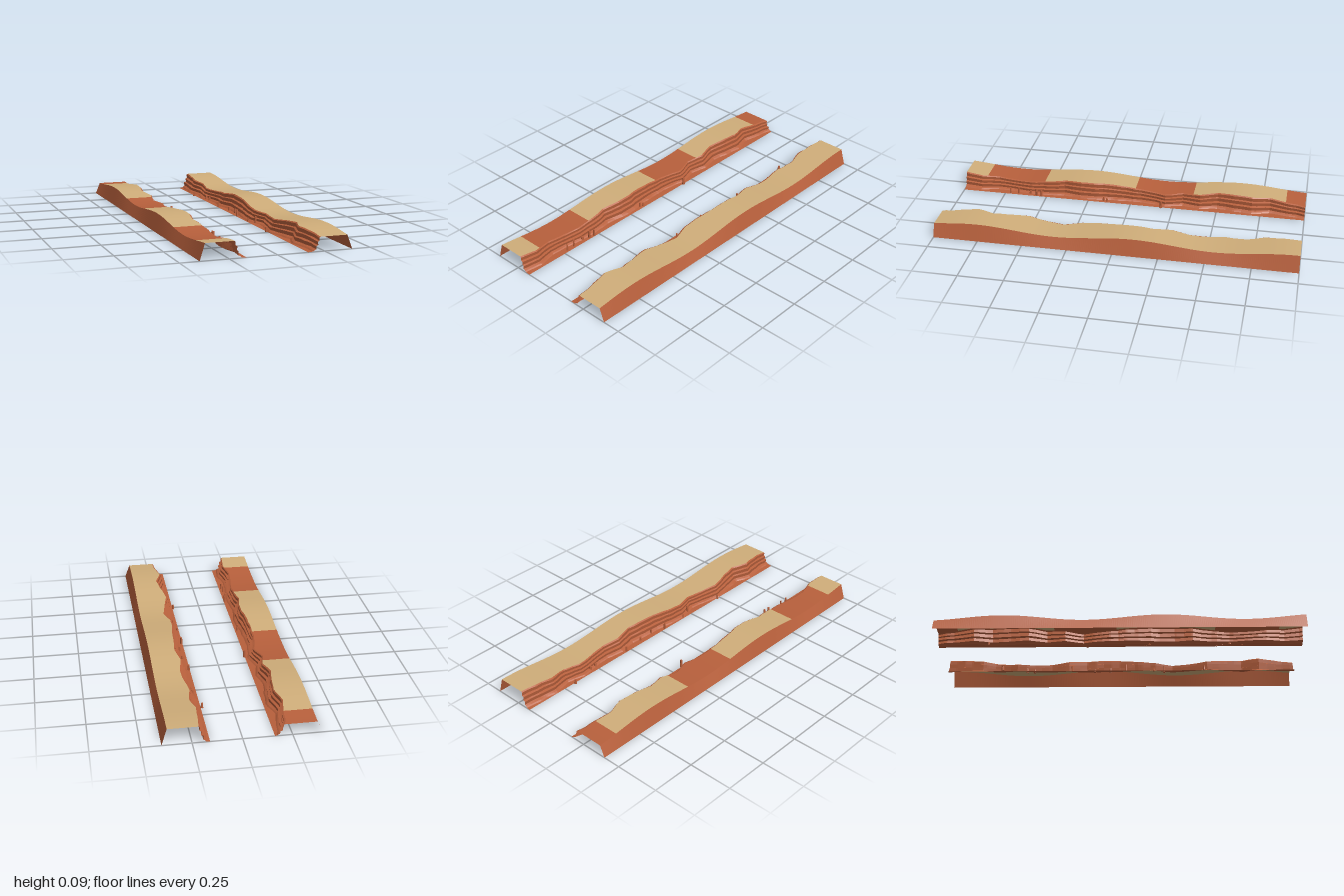
import * as THREE from 'three';

const rust = new THREE.MeshStandardMaterial({ color: 0xb8603c, side: THREE.DoubleSide, flatShading: true });
rust.name = 'red rock';
const sand = new THREE.MeshStandardMaterial({ color: 0xd0ae7a, side: THREE.DoubleSide, flatShading: true });
sand.name = 'pale sand';

const STEP = 0.01;

// Repeatable value in -1..1
const hash = (n) => {
  const v = Math.sin(n * 127.1 + 11.7) * 43758.5453;
  return 2 * (v - Math.floor(v)) - 1;
};
// Straight runs between evenly spaced knots
const runs = (z, spacing, knot) => {
  const u = (z + 1) / spacing, k = Math.floor(u + 1e-6);
  return THREE.MathUtils.lerp(knot(k), knot(k + 1), u - k);
};
const jitter = (z, seed) => runs(z, 0.045, (k) => hash(k + seed));

// Rim distance from the centre, every 0.1 along z
const rightRim = [.212, .225, .238, .212, .222, .237, .217, .238, .21, .23, .233,
  .228, .215, .213, .23, .22, .218, .232, .24, .217, .225];
const leftRim = [.218, .21, .204, .224, .206, .222, .23, .213, .233, .225, .22,
  .208, .208, .238, .217, .195, .218, .233, .202, .222, .23];

// Spire places: distance from the centre, z
const rightSpires = [[.197, -.72], [.158, -.18], [.174, .14], [.18, .16], [.166, .53], [.172, .56],
  [.185, .6], [.178, .67], [.175, .72]];
const leftSpires = [[.154, -.68], [.185, -.54], [.19, -.5], [.168, -.28], [.186, -.15], [.19, -.06],
  [.167, .03], [.17, .19], [.19, .25], [.158, .48]];

// Cliff strata: step toward the channel, share of the height
const strata = [[0, 1], [.007, .94], [.005, .72], [.015, .67], [.012, .44], [.024, .39], [.021, .17], [.032, .1], [.038, .03]];

// Sheet swept along z through cross-sections listed from outside to inside
function sheet(name, material, side, z0, z1, section) {
  const rows = Math.round((z1 - z0) / STEP), cols = section(z0).length, pos = [], index = [];
  for (let i = 0; i <= rows; i++) {
    const z = z0 + i * STEP;
    section(z).forEach(([x, y]) => pos.push(side * x, y, z));
  }
  for (let i = 0; i < rows; i++) {
    for (let j = 0; j < cols - 1; j++) {
      const a = i * cols + j, b = a + 1, c = a + cols, d = c + 1;
      if (side < 0) index.push(a, c, b, b, c, d);
      else index.push(a, b, c, b, d, c);
    }
  }
  const geometry = new THREE.BufferGeometry();
  geometry.setAttribute('position', new THREE.Float32BufferAttribute(pos, 3));
  geometry.setIndex(index);
  geometry.computeVertexNormals();
  const mesh = new THREE.Mesh(geometry, material);
  mesh.name = name;
  return mesh;
}

// breaks: z where the plateau colour changes, starting with the first material
function buildBank(name, side, crest, seed, rimKnots, spires, breaks, materials) {
  const group = new THREE.Group();
  group.name = name;
  const height = (z) => 0.076 + 0.015 * Math.cos((z - crest) * Math.PI * 2 / 0.87);
  const rim = (z) => runs(z, 0.1, (k) => rimKnots[Math.min(k, 20)]) + 0.003 * jitter(z, seed);

  // Sloping outer wall
  group.add(sheet('outerWall', rust, side, -1, 1, (z) => [[0.4, 0], [0.373, height(z)]]));

  // Rolling plateau in colour bands
  for (let i = 0; i < breaks.length - 1; i++) {
    group.add(sheet('plateau', materials[i % materials.length], side, breaks[i], breaks[i + 1],
      (z) => [[0.373, height(z)], [rim(z), height(z)]]));
  }

  // Stepped cliff and the foot running to the channel
  group.add(sheet('cliff', rust, side, -1, 1, (z) => {
    const ledges = strata.map(([step, share], k) => [
      rim(z) - step + (k ? 0.0025 * jitter(z, seed + 40 * Math.ceil(k / 2)) : 0),
      height(z) * share,
    ]);
    return [...ledges, [0.161, 0]];
  }));

  // Small rock spires on the foot
  spires.forEach(([x, z], i) => {
    const h = 0.028 + 0.015 * hash(i + seed), r = 0.007 + 0.001 * hash(i + seed + 20);
    const spire = new THREE.Mesh(new THREE.CylinderGeometry(r * 0.75, r, h, 6), rust);
    spire.position.set(side * x, h / 2, z);
    spire.rotation.y = i * 1.3;
    spire.name = 'rockSpire';
    group.add(spire);
  });
  return group;
}

export function createModel() {
  const model = new THREE.Group();
  model.name = 'canyonBanks';
  model.add(
    buildBank('rightBank', -1, 0.24, 3, rightRim, rightSpires, [-1, -.89, -.36, -.02, .52, .87, 1], [rust, sand]),
    buildBank('leftBank', 1, 0.76, 71, leftRim, leftSpires, [-1, 1], [sand]),
  );
  return model;
}
